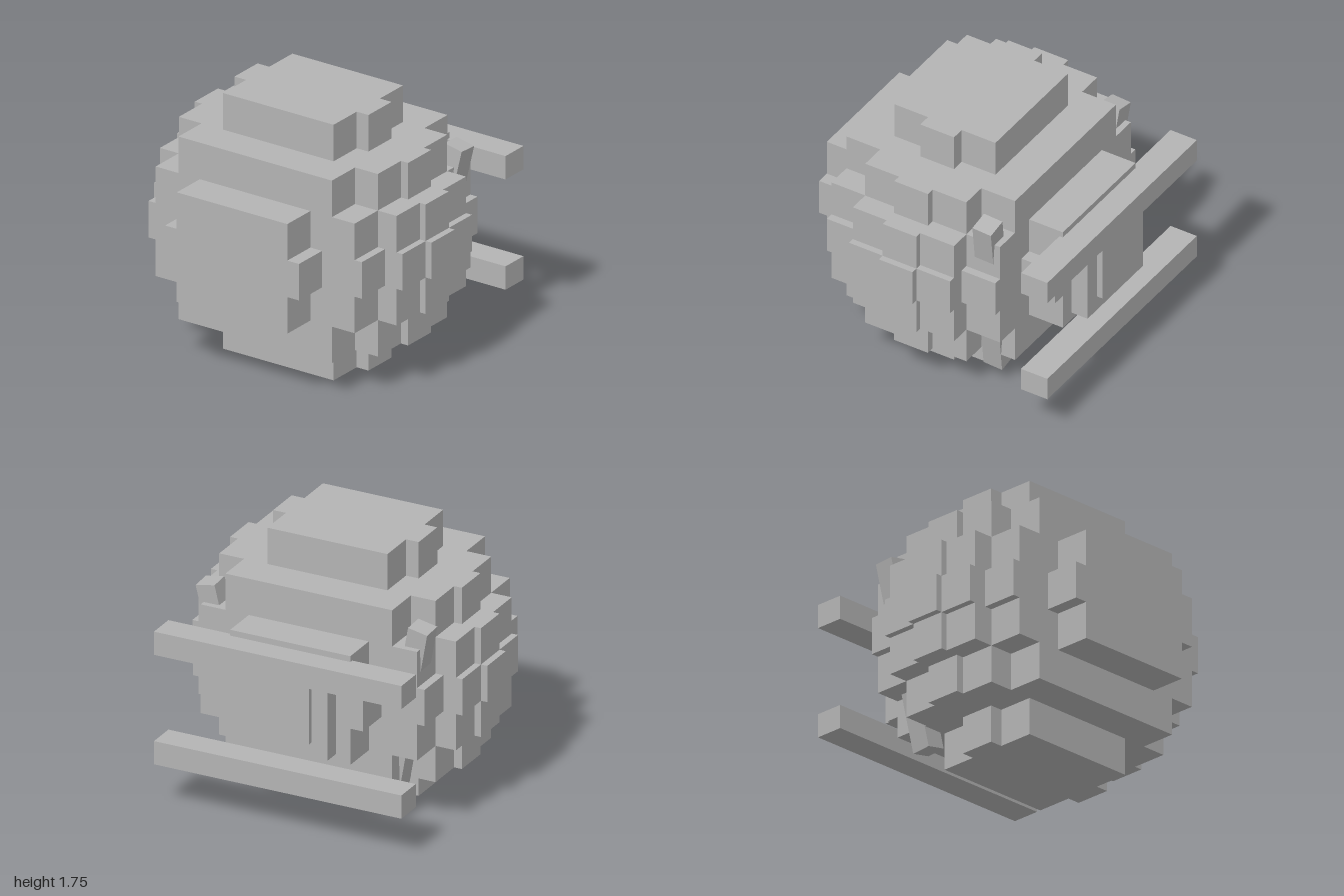
import * as THREE from 'three';

const CELL = 0.25;      // layer height and step depth
const CENTRE_Z = 0.085; // the ball sits slightly forward of the origin

// Half-widths of each horizontal layer, by row distance from its middle;
// listed from the equator outwards.
const LAYERS = [
  [1.0, 0.955, 0.82, 0.515],
  [0.955, 0.91, 0.765, 0.425],
  [0.82, 0.765, 0.59],
  [0.515, 0.425],
];

// Stepped outline of one layer, extruded upwards
function layerGeometry(widths) {
  const n = widths.length - 1;
  const side = [];
  for (let k = -n; k <= n; k++) {
    const w = widths[Math.abs(k)];
    side.push([w, (k - 0.5) * CELL], [w, (k + 0.5) * CELL]);
  }
  const mirrored = side.map(([x, z]) => [-x, z]).reverse();
  const points = [...side, ...mirrored].map(([x, z]) => new THREE.Vector2(x, z));
  const geo = new THREE.ExtrudeGeometry(new THREE.Shape(points), { depth: CELL, bevelEnabled: false });
  return geo.rotateX(-Math.PI / 2);
}

export function createModel() {
  const model = new THREE.Group();
  model.name = 'blockBall';
  const grey = new THREE.MeshStandardMaterial({ color: 0xb3b3b3 });
  grey.name = 'plain grey';

  const add = (name, geometry, parent = model) => {
    const mesh = new THREE.Mesh(geometry, grey);
    mesh.name = name;
    parent.add(mesh);
    return mesh;
  };
  // Box given by its half-width in x and its ranges in y and z
  const box = (name, halfX, y0, y1, z0, z1) =>
    add(name, new THREE.BoxGeometry(halfX * 2, y1 - y0, z1 - z0))
      .position.set(0, (y0 + y1) / 2, (z0 + z1) / 2);

  // Stepped ball body
  const body = new THREE.Group();
  body.name = 'body';
  model.add(body);
  for (let j = -3; j <= 3; j++) {
    add('bodyLayer', layerGeometry(LAYERS[Math.abs(j)]), body)
      .position.set(0, (j + 3) * CELL, CENTRE_Z);
  }

  // Hatch on the back
  box('hatchFrame', 0.325, 0.555, 1.195, -0.91, -0.78);
  box('hatchPanel', 0.215, 0.66, 1.09, -0.95, -0.9);

  // Horizontal bars across the back
  box('upperBar', 0.875, 1.05, 1.21, -0.96, -0.765);
  box('lowerBar', 0.875, 0.295, 0.455, -0.96, -0.765);

  // Slanted struts running through the body, showing at both ends
  for (const s of [1, -1]) {
    const foot = new THREE.Vector3(s * 0.498, 0.127, -0.36);
    const head = new THREE.Vector3(s * 0.752, 1.376, -0.438);
    const axis = head.clone().sub(foot);
    const strut = add(s > 0 ? 'leftStrut' : 'rightStrut',
      new THREE.BoxGeometry(0.137, axis.length(), 0.137));
    strut.position.copy(foot).add(head).multiplyScalar(0.5);
    strut.quaternion.setFromUnitVectors(new THREE.Vector3(0, 1, 0), axis.normalize());
  }
  return model;
}
